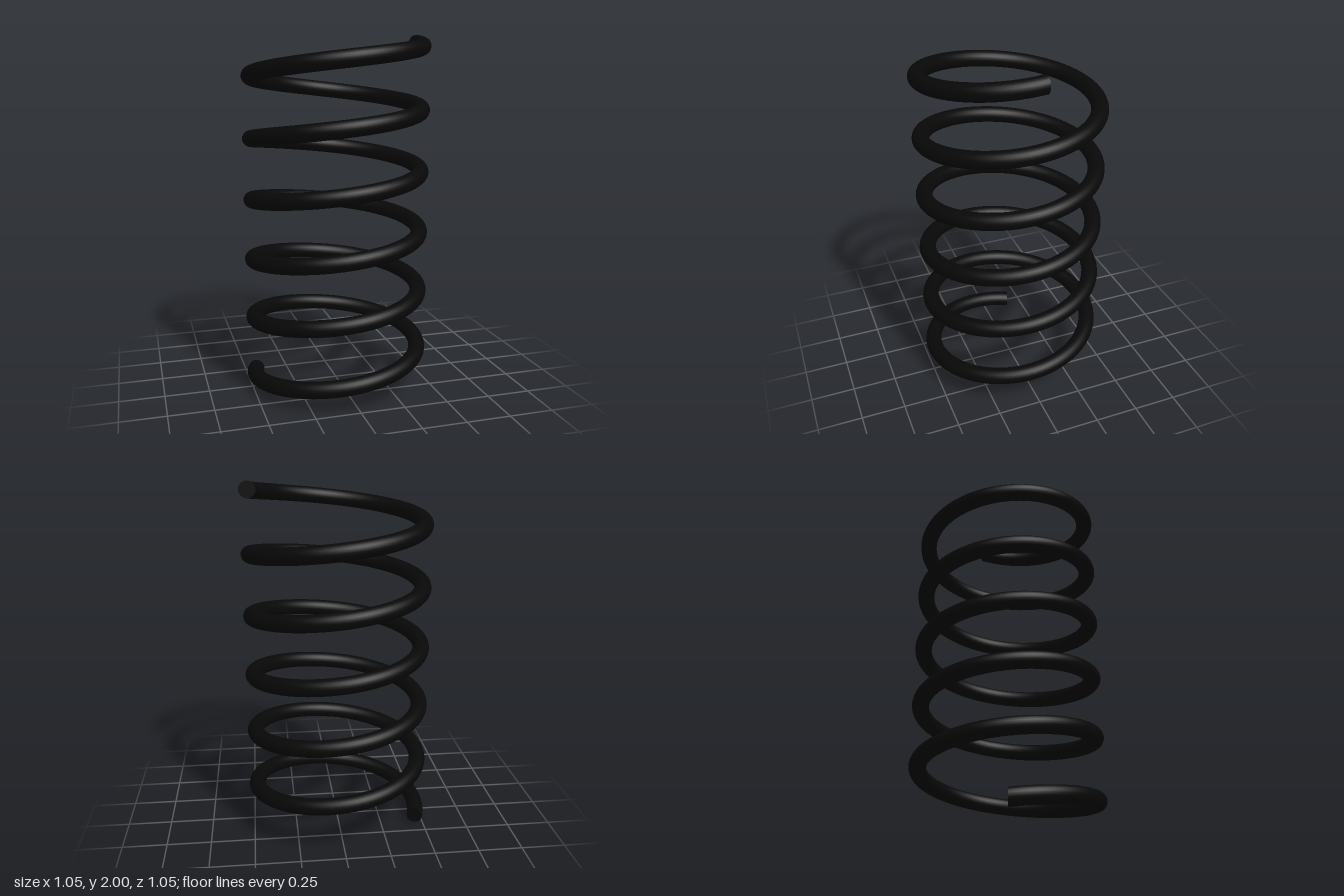
import * as THREE from 'three';
import { ParametricGeometry } from 'three/addons/geometries/ParametricGeometry.js';

const COIL_RADIUS = 0.4765;
const WIRE_RADIUS = 0.0465;
const TURNS = 5.553;
const BOTTOM = WIRE_RADIUS;
const TOP = 2 - WIRE_RADIUS;

// Angle and height along the coil, t from 0 (bottom) to 1 (top)
const angleAt = (t) => (t - 1) * TURNS * Math.PI * 2;
const heightAt = (t) => BOTTOM + (TOP - BOTTOM) * t;

export function createModel() {
  const group = new THREE.Group();
  group.name = 'coilSpring';
  const material = new THREE.MeshStandardMaterial({ color: 0x080808 });

  // Wire: an upright circle swept around the axis while rising
  const wire = new THREE.Mesh(
    new ParametricGeometry((u, v, target) => {
      const a = angleAt(u);
      const b = v * Math.PI * 2;
      const r = COIL_RADIUS + WIRE_RADIUS * Math.cos(b);
      target.set(r * Math.cos(a), heightAt(u) + WIRE_RADIUS * Math.sin(b), -r * Math.sin(a));
    }, 400, 24),
    material
  );
  wire.name = 'springWire';
  group.add(wire);

  // Flat discs closing the two cut ends
  for (const [name, t, flip] of [['bottomEnd', 0, 0], ['topEnd', 1, Math.PI]]) {
    const geometry = new THREE.CircleGeometry(WIRE_RADIUS, 24);
    geometry.rotateY(flip);
    geometry.translate(COIL_RADIUS, heightAt(t), 0);
    geometry.rotateY(angleAt(t));
    const cap = new THREE.Mesh(geometry, material);
    cap.name = name;
    group.add(cap);
  }

  return group;
}
